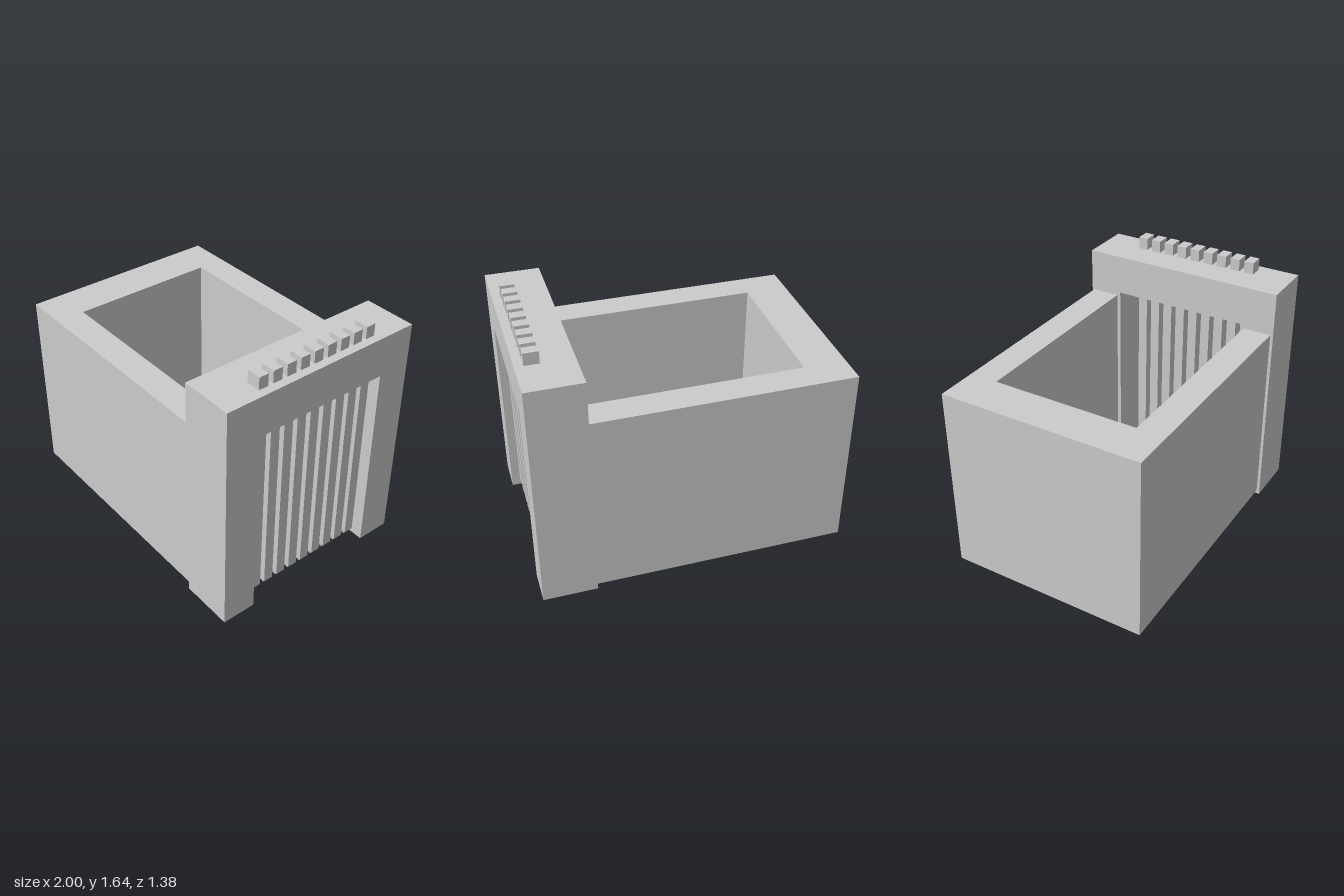
import * as THREE from 'three';

const material = new THREE.MeshStandardMaterial({ color: 0xcccccc, flatShading: true });

function add(group, geometry, name) {
  const mesh = new THREE.Mesh(geometry, material);
  mesh.name = name;
  group.add(mesh);
  return mesh;
}

// Closed outline from [x, y] corner pairs
const outline = (points) => new THREE.Shape(points.map(([x, y]) => new THREE.Vector2(x, y)));

export function createModel() {
  const model = new THREE.Group();
  model.name = 'gatehouse';

  // U-shaped enclosure, drawn in plan (x, -z) and raised upwards
  const plan = outline([
    [0.65, -0.67], [0.65, -0.48], [-0.725, -0.48], [-0.725, 0.487],
    [0.65, 0.487], [0.65, 0.675], [-1, 0.675], [-1, -0.67],
  ]);
  const walls = new THREE.ExtrudeGeometry(plan, { depth: 1.25, bevelEnabled: false });
  walls.rotateX(-Math.PI / 2).translate(0, 0.025, 0);
  add(model, walls, 'enclosureWalls');

  // Gate frame: two posts and a lintel, drawn in elevation
  const elevation = outline([
    [-0.69, 0], [-0.463, 0], [-0.463, 1.3], [0.463, 1.3],
    [0.463, 0], [0.69, 0], [0.69, 1.565], [-0.69, 1.565],
  ]);
  const frame = new THREE.ExtrudeGeometry(elevation, { depth: 0.35, bevelEnabled: false });
  frame.rotateY(Math.PI / 2).translate(0.65, 0, 0);
  add(model, frame, 'gateFrame');

  // Portcullis: bars passing up through the lintel, each with a pointed foot
  const portcullis = new THREE.Group();
  portcullis.name = 'portcullis';
  portcullis.position.x = 0.9;
  model.add(portcullis);

  const width = 0.065, depth = 0.092, shoulder = 0.07, top = 1.645, tip = 0.01;
  const bar = new THREE.BoxGeometry(depth, top - shoulder, width);
  const spike = new THREE.ConeGeometry(Math.SQRT1_2, 1, 4);
  spike.rotateY(Math.PI / 4).rotateX(Math.PI).scale(depth, shoulder - tip, width);
  for (let i = -4; i <= 4; i++) {
    add(portcullis, bar, 'bar').position.set(0, (top + shoulder) / 2, i * 0.0995);
    add(portcullis, spike, 'barSpike').position.set(0, (shoulder + tip) / 2, i * 0.0995);
  }
  return model;
}
